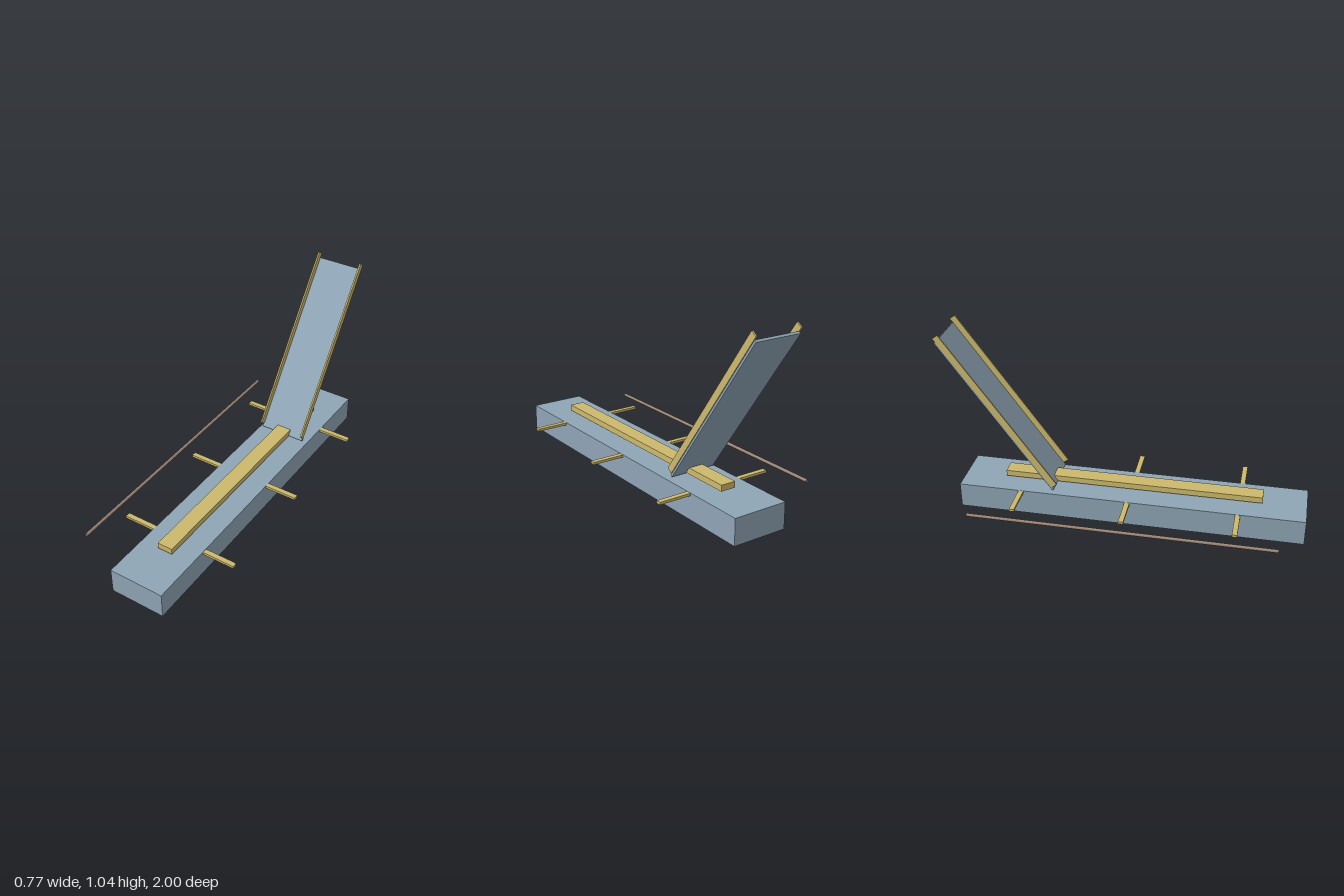
import * as THREE from 'three';

const slate = new THREE.MeshStandardMaterial({ name: 'slate blue', color: 0x8fa5b6 });
const wood = new THREE.MeshStandardMaterial({ name: 'pale wood', color: 0xcdb96c });
const brown = new THREE.MeshStandardMaterial({ name: 'dull brown', color: 0x9a8474 });

// Box given by its low and high limits on each axis
function block(name, material, [x0, x1], [y0, y1], [z0, z1]) {
  const mesh = new THREE.Mesh(new THREE.BoxGeometry(x1 - x0, y1 - y0, z1 - z0), material);
  mesh.position.set((x0 + x1) / 2, (y0 + y1) / 2, (z0 + z1) / 2);
  mesh.name = name;
  return mesh;
}

export function createModel() {
  const model = new THREE.Group();
  model.name = 'model';

  // Long base and the beam carried above it
  model.add(block('base', slate, [-0.108, 0.202], [0, 0.144], [-0.92, 1]));
  model.add(block('beam', wood, [0.005, 0.09], [0.159, 0.193], [-0.68, 0.76]));

  // Small slanted pivot between base and beam
  const pivot = block('pivot', slate, [0.035, 0.057], [0.145, 0.159], [-0.094, -0.056]);
  pivot.rotation.x = -0.2;
  model.add(pivot);

  // Cross bars, a stub on each side of the base
  for (const z of [-0.566, 0.034, 0.637]) {
    model.add(block('crossBarRight', wood, [-0.29, -0.1], [0.129, 0.143], [z - 0.014, z + 0.014]));
    model.add(block('crossBarLeft', wood, [0.195, 0.384], [0.129, 0.143], [z - 0.014, z + 0.014]));
  }

  // Loose round rod beside the base
  const rod = new THREE.Mesh(new THREE.CylinderGeometry(0.009, 0.009, 1.66, 16), brown);
  rod.name = 'rod';
  rod.rotation.x = Math.PI / 2;
  rod.position.set(-0.375, 0.137, 0.04);
  model.add(rod);

  // Leaning ramp: local y runs up the slope, local z out of its front face
  const ramp = new THREE.Group();
  ramp.name = 'ramp';
  ramp.position.set(0.046, 0.163, -0.381);
  ramp.rotation.x = -0.621;
  ramp.add(block('rampPanel', slate, [-0.131, 0.131], [0, 1.033], [-0.014, 0]));
  for (const side of [-1, 1]) {
    const rail = block('rampRail', wood, [-0.0045, 0.0045], [0.018, 1.058], [-0.002, 0.034]);
    rail.position.x = side * 0.132;
    ramp.add(rail);
  }
  model.add(ramp);

  return model;
}
